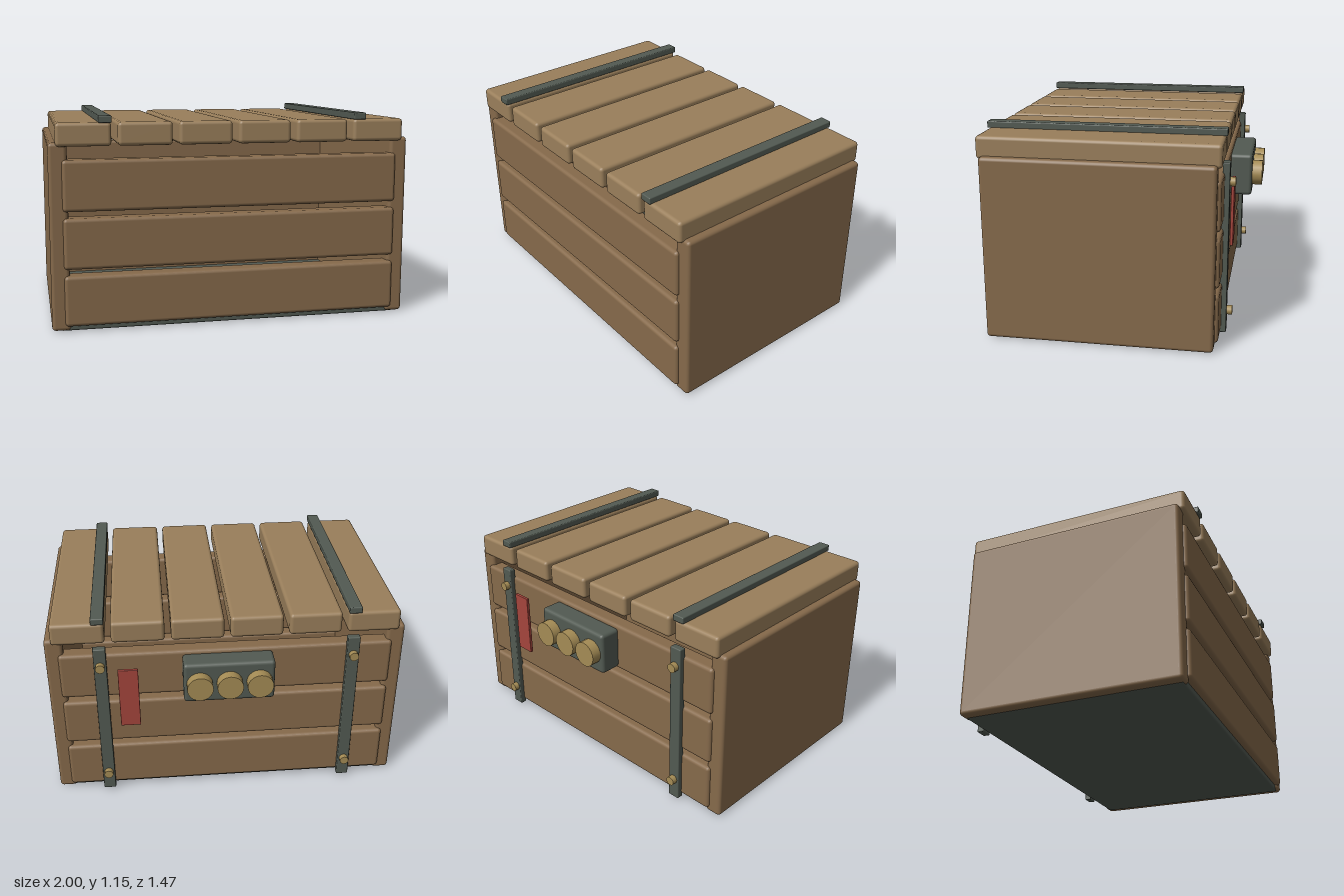
import * as THREE from 'three';
import { RoundedBoxGeometry } from 'three/addons/geometries/RoundedBoxGeometry.js';

export function createModel() {
  const model = new THREE.Group();
  const mat = (color) => new THREE.MeshStandardMaterial({ color });
  const wood = mat(0x866a4b), lidWood = mat(0x9a7f5b), metal = mat(0x525a52);
  const brass = mat(0xa58c55), red = mat(0xa5453c);

  // Rounded box given by its extents on each axis
  function block(name, [x0, x1], [y0, y1], [z0, z1], material, radius) {
    const geo = new RoundedBoxGeometry(x1 - x0, y1 - y0, z1 - z0, 2, radius);
    const mesh = new THREE.Mesh(geo, material);
    mesh.name = name;
    mesh.position.set((x0 + x1) / 2, (y0 + y1) / 2, (z0 + z1) / 2);
    model.add(mesh);
  }

  // Short cylinder lying along z
  function stud(name, x, y, [z0, z1], radius, sides) {
    const geo = new THREE.CylinderGeometry(radius, radius, z1 - z0, sides).rotateX(Math.PI / 2);
    const mesh = new THREE.Mesh(geo, brass);
    mesh.name = name;
    mesh.position.set(x, y, (z0 + z1) / 2);
    model.add(mesh);
  }

  // Floor plate
  block('floor', [-0.95, 0.95], [0, 0.05], [-0.52, 0.69], metal, 0.01);

  // Solid end panels
  block('leftEndPanel', [0.9, 1], [0.004, 1.015], [-0.538, 0.705], wood, 0.02);
  block('rightEndPanel', [-1, -0.9], [0.004, 1.015], [-0.538, 0.705], wood, 0.02);

  // Three slats on the front and the back
  for (let i = 0; i < 3; i++) {
    const y = 0.03 + i * 0.31;
    block('frontSlat', [-0.93, 0.93], [y, y + 0.275], [0.62, 0.725], wood, 0.02);
    block('backSlat', [-0.93, 0.93], [y, y + 0.275], [-0.557, -0.46], wood, 0.02);
  }

  // Six lid planks
  for (let i = 0; i < 6; i++) {
    const x = (i - 2.5) * 0.326;
    block('lidPlank', [x - 0.146, x + 0.146], [0.995, 1.12], [-0.56, 0.729], lidWood, 0.02);
  }

  // Metal straps on the lid and back, with bolts
  for (const x of [-0.703, 0.703]) {
    const w = [x - 0.035, x + 0.035];
    block('lidStrap', w, [1.117, 1.155], [-0.568, 0.737], metal, 0.006);
    block('backStrap', w, [0.01, 0.975], [-0.585, -0.545], metal, 0.006);
    for (const y of [0.133, 0.867]) stud('strapBolt', x, y, [-0.615, -0.58], 0.026, 12);
  }

  // Housing with three round caps
  block('housing', [-0.252, 0.252], [0.665, 0.907], [-0.68, -0.55], metal, 0.02);
  for (const x of [-0.165, 0, 0.165]) stud('housingCap', x, 0.785, [-0.737, -0.67], 0.072, 20);

  // Red tag plate
  block('tagPlate', [0.498, 0.61], [0.475, 0.845], [-0.602, -0.584], red, 0.003);

  return model;
}
